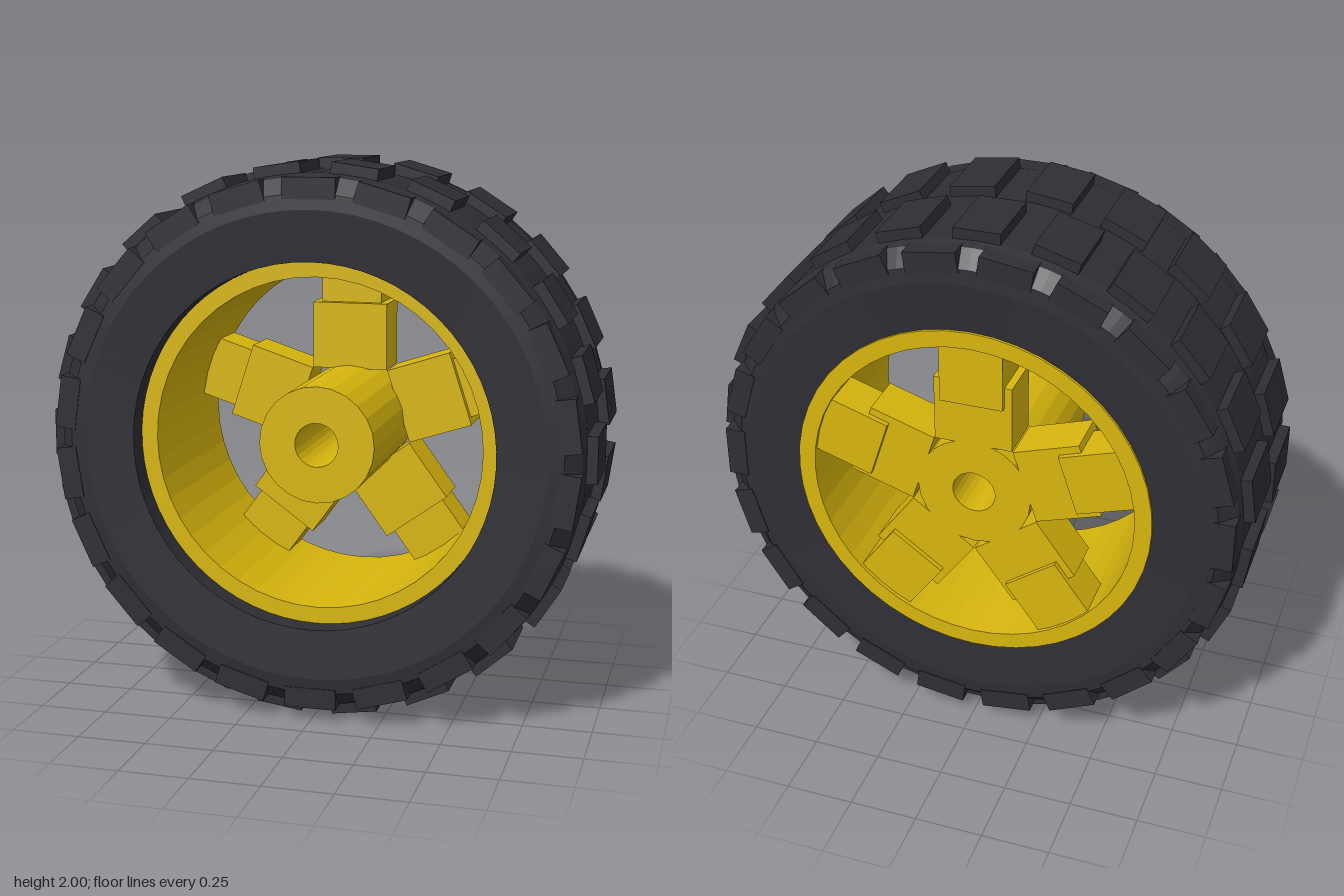
import * as THREE from 'three';

const rubber = new THREE.MeshStandardMaterial({ color: 0x2e2e35, flatShading: true });
rubber.name = 'dark rubber';
const yellow = new THREE.MeshStandardMaterial({ color: 0xd8b60d, flatShading: true });
yellow.name = 'yellow plastic';

// Closed ring around the z axis; the [radius, z] loop runs outer front -> inner front -> inner back -> outer back
function ring(name, profile, segments, material) {
  const points = [...profile, profile[0]].map(([r, z]) => new THREE.Vector2(r, z));
  const geometry = new THREE.LatheGeometry(points, segments);
  geometry.rotateX(Math.PI / 2);
  const mesh = new THREE.Mesh(geometry, material);
  mesh.name = name;
  return mesh;
}

// Box reaching from radius r0 to r1 along +x, between z0 and z1, turned by an angle about z
function radialBox(name, r0, r1, width, z0, z1, angle, material) {
  const geometry = new THREE.BoxGeometry(r1 - r0, width, z1 - z0);
  geometry.translate((r0 + r1) / 2, 0, (z0 + z1) / 2);
  const mesh = new THREE.Mesh(geometry, material);
  mesh.rotation.z = angle;
  mesh.name = name;
  return mesh;
}

// Square-section ring
const tube = (name, outer, inner, back, front, segments, material) =>
  ring(name, [[outer, back], [outer, front], [inner, front], [inner, back]], segments, material);

export function createModel() {
  const model = new THREE.Group();
  model.name = 'wheel';
  const wheel = new THREE.Group();
  wheel.position.y = 1;
  model.add(wheel);

  // Tyre carcass with dished sidewalls and chamfered shoulders
  const half = [[0.962, 0.30], [0.95, 0.34], [0.895, 0.395], [0.84, 0.4], [0.66, 0.385]];
  const back = half.map(([r, z]) => [r, -z]).reverse();
  wheel.add(ring('tyre', [...back, ...half], 66, rubber));

  // Two staggered rows of tread blocks, and shoulder lugs set between them
  const tread = new THREE.Group();
  tread.name = 'tread';
  const count = 22;
  const step = (Math.PI * 2) / count;
  for (let i = 0; i < count; i++) {
    const a = i * step;
    const b = (i + 0.5) * step;
    tread.add(radialBox('frontTreadBlock', 0.93, 0.997, 0.168, 0.04, 0.305, a, rubber));
    tread.add(radialBox('backTreadBlock', 0.93, 0.997, 0.168, -0.305, -0.04, b, rubber));
    tread.add(radialBox('frontShoulderLug', 0.875, 0.95, 0.19, 0.3, 0.4, b, rubber));
    tread.add(radialBox('backShoulderLug', 0.875, 0.95, 0.19, -0.4, -0.3, a, rubber));
  }
  wheel.add(tread);

  // Rim barrel, set back from the front of the tyre
  wheel.add(tube('rim', 0.662, 0.6, -0.395, 0.3, 48, yellow));

  // Hub with axle hole
  wheel.add(tube('hub', 0.212, 0.08, -0.36, 0.3, 24, yellow));

  // Five stepped spokes near the back
  const spokes = new THREE.Group();
  spokes.name = 'spokes';
  for (let i = 0; i < 5; i++) {
    const a = Math.PI / 2 + (i * Math.PI * 2) / 5;
    spokes.add(radialBox('spokeInner', 0.2, 0.45, 0.286, -0.36, -0.18, a, yellow));
    spokes.add(radialBox('spokeOuter', 0.37, 0.615, 0.23, -0.38, -0.21, a, yellow));
  }
  wheel.add(spokes);

  return model;
}
